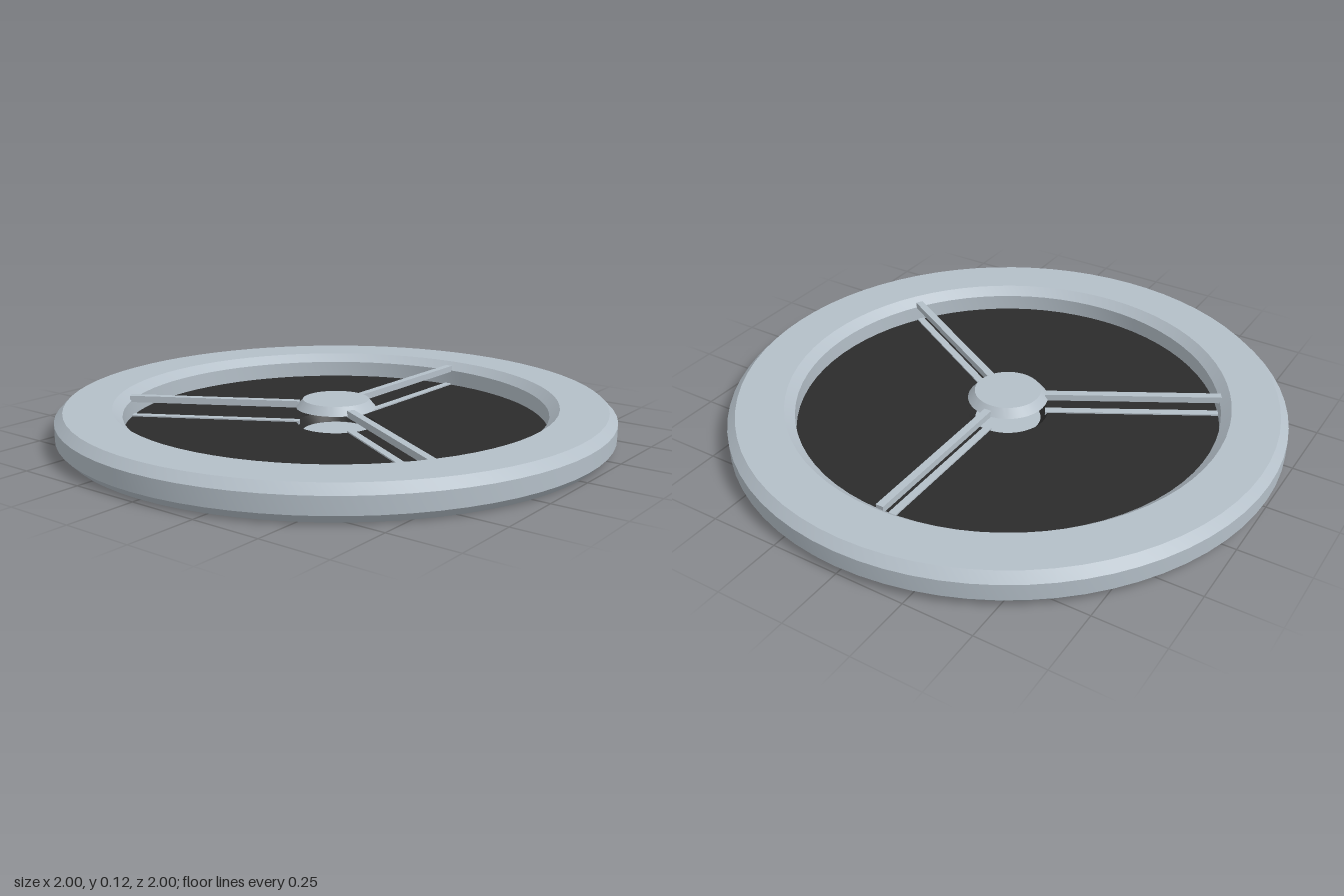
import * as THREE from 'three';
import { toCreasedNormals } from 'three/addons/utils/BufferGeometryUtils.js';

const metal = new THREE.MeshStandardMaterial({ color: 0xb4bfc8, side: THREE.DoubleSide });
metal.name = 'paleSteel';
const dark = new THREE.MeshStandardMaterial({ color: 0x2b2b2b, side: THREE.DoubleSide });
dark.name = 'charcoal';

// Revolve a profile of [radius, height] pairs, keeping bevel edges sharp
function turned(name, profile, material) {
  const points = profile.map(([r, y]) => new THREE.Vector2(r, y));
  const mesh = new THREE.Mesh(toCreasedNormals(new THREE.LatheGeometry(points, 72), 0.5), material);
  mesh.name = name;
  return mesh;
}

export function createModel() {
  const model = new THREE.Group();
  model.name = 'spokedDisc';

  // Bevelled outer ring
  model.add(turned('outerRing', [
    [0.97, 0], [1, 0.03], [1, 0.09], [0.97, 0.12],
    [0.80, 0.12], [0.765, 0.09], [0.765, 0.03], [0.80, 0], [0.97, 0],
  ], metal));

  // Dark panel, dipping to the lower hub plate
  model.add(turned('panel', [[0.12, 0.002], [0.145, 0.03], [0.77, 0.03]], dark));

  // Hub plates above and below the panel
  model.add(turned('upperHub', [[0.145, 0.09], [0.12, 0.12], [0, 0.12]], metal));
  model.add(turned('lowerHub', [[0, 0], [0.122, 0]], metal));

  // Two layers of three thin spokes
  const spokeGeometry = new THREE.BoxGeometry(0.028, 0.024, 0.635);
  for (const [layer, y] of [['upperSpokes', 0.097], ['lowerSpokes', 0.023]]) {
    const spokes = new THREE.Group();
    spokes.name = layer;
    for (let i = 0; i < 3; i++) {
      const arm = new THREE.Group();
      const spoke = new THREE.Mesh(spokeGeometry, metal);
      spoke.name = 'spoke';
      spoke.position.set(0, y, -0.4525);
      arm.name = 'spokeArm';
      arm.rotation.y = (i * Math.PI * 2) / 3;
      arm.add(spoke);
      spokes.add(arm);
    }
    model.add(spokes);
  }
  return model;
}
